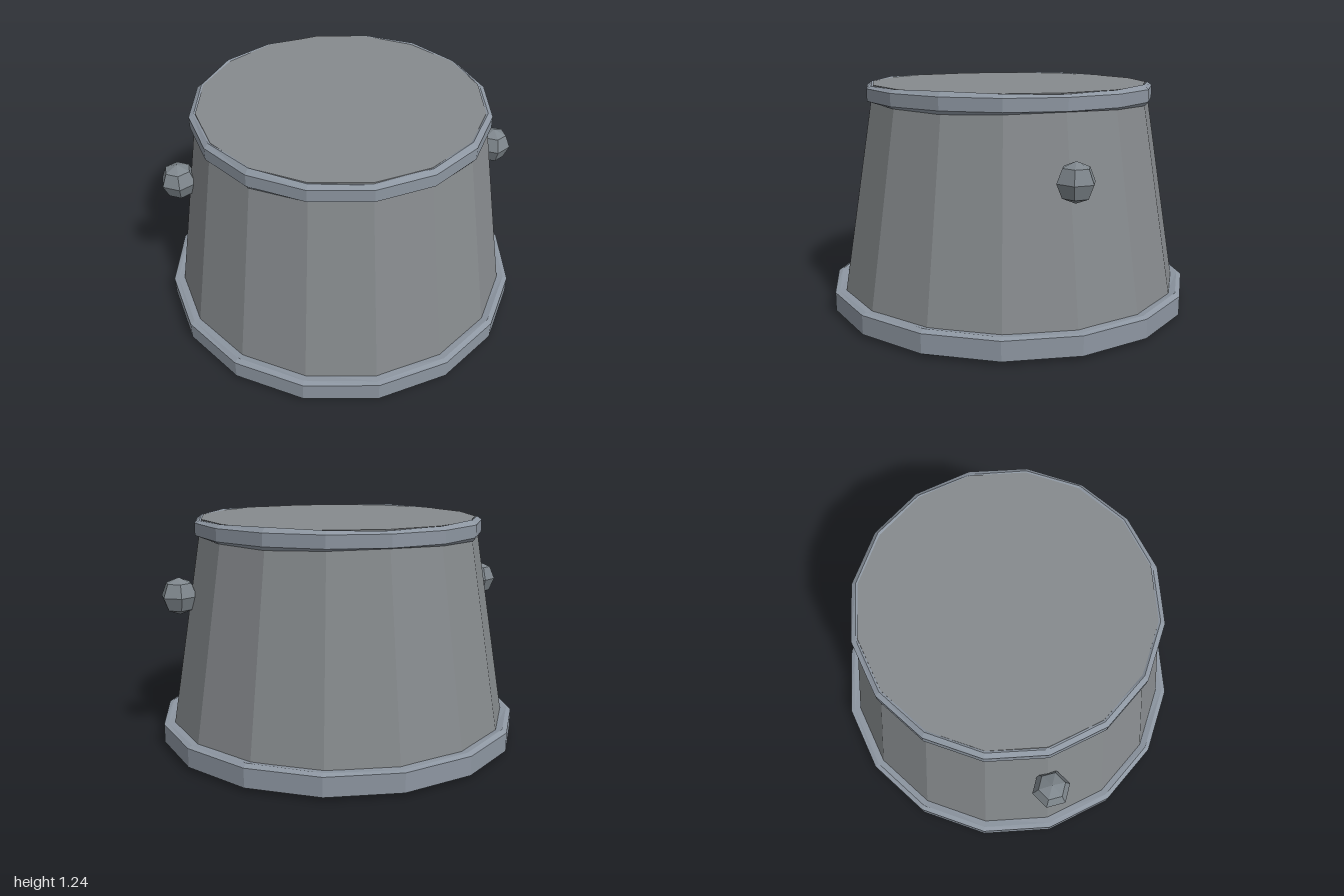
import * as THREE from 'three';

const SIDES = 16;

function paint(color) {
  return new THREE.MeshStandardMaterial({ color, flatShading: true, side: THREE.DoubleSide });
}
const bodyPaint = paint(0x868a8d);
const rimPaint = paint(0x8d96a1);
const knobPaint = paint(0x7e868c);

function part(name, geometry, material) {
  const mesh = new THREE.Mesh(geometry, material);
  mesh.name = name;
  return mesh;
}

// Faceted hoop with a bevelled section; its edges wave slightly four times round
function rim(name, section, wave) {
  const geometry = new THREE.LatheGeometry(section.map(([r, y]) => new THREE.Vector2(r, y)), SIDES);
  const pos = geometry.attributes.position;
  const rows = section.length;
  for (let i = 0; i < pos.count; i++) {
    const row = i % rows;
    if (row !== 1 && row !== rows - 2) continue;
    const angle = Math.atan2(pos.getX(i), pos.getZ(i));
    pos.setY(i, pos.getY(i) - wave * Math.cos(4 * angle) * (row === 1 ? -1 : 1));
  }
  geometry.computeVertexNormals();
  return part(name, geometry, rimPaint);
}

export function createModel() {
  const model = new THREE.Group();
  model.name = 'taperedDrum';

  // Tapered body, closed at both ends
  const body = part('body', new THREE.CylinderGeometry(0.755, 0.96, 1.22, SIDES), bodyPaint);
  body.position.y = 0.62;
  model.add(body);

  // Hoops around the foot and the lid
  model.add(rim('bottomRim', [
    [0.93, 0.01], [0.965, 0.007], [1, 0.02], [1, 0.122], [0.975, 0.132], [0.93, 0.128],
  ], 0.006));
  model.add(rim('topRim', [
    [0.75, 1.14], [0.775, 1.135], [0.79, 1.147], [0.79, 1.212], [0.765, 1.23], [0.745, 1.225],
  ], 0.007));

  // Side knobs
  for (const [name, side] of [['leftKnob', 1], ['rightKnob', -1]]) {
    const knob = part(name, new THREE.SphereGeometry(0.1, 6, 4).rotateY(Math.PI / 2), knobPaint);
    knob.position.set(side * 0.885, 0.83, 0);
    model.add(knob);
  }
  return model;
}
